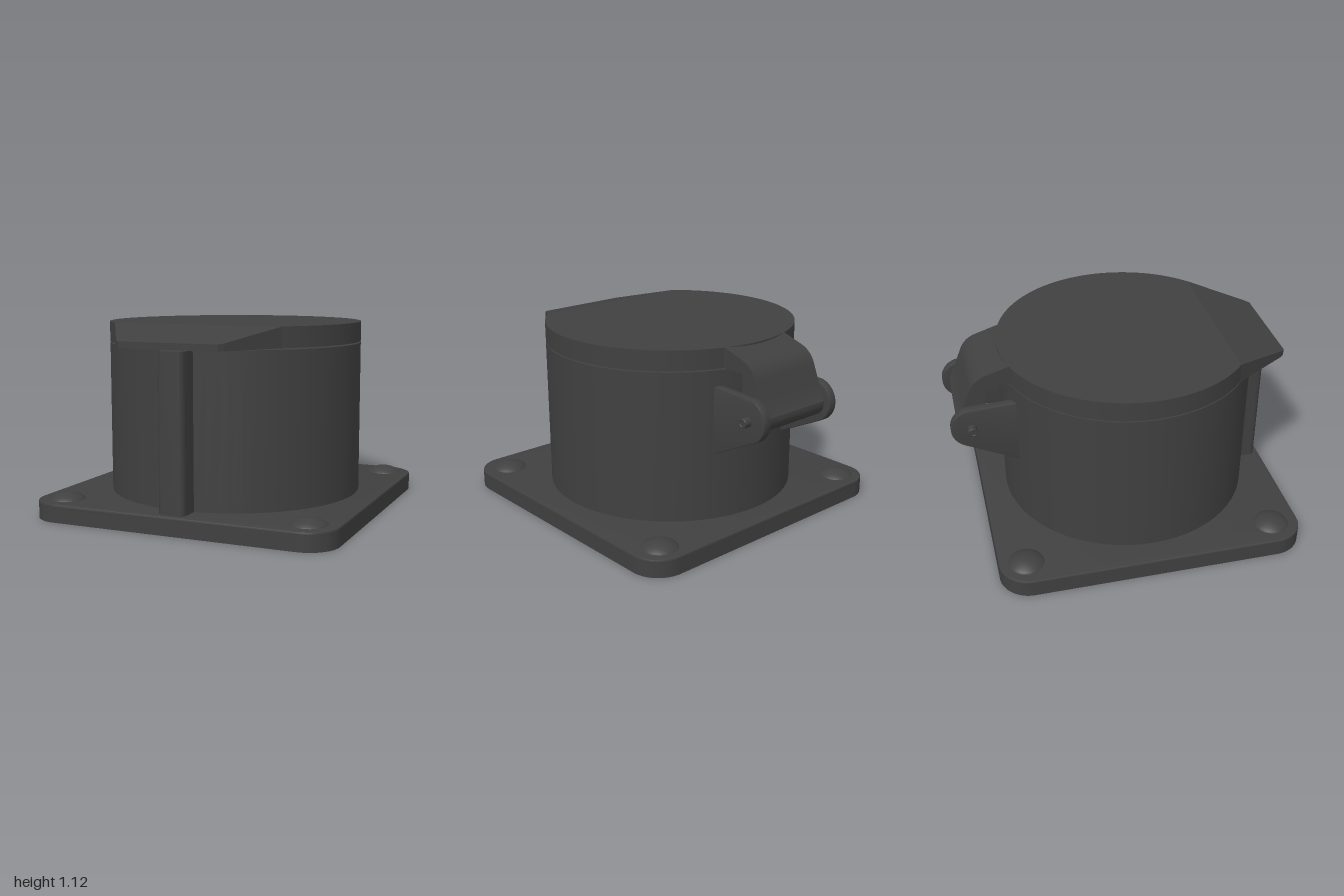
import * as THREE from 'three';
import { toCreasedNormals } from 'three/addons/utils/BufferGeometryUtils.js';
import { ConvexGeometry } from 'three/addons/geometries/ConvexGeometry.js';

const material = new THREE.MeshStandardMaterial({ color: 0x404040 });
const R = 0.76, CZ = 0.085; // body radius and centre
const CREASE = 0.6;

function extrude(shape, depth, bevel = 0) {
  return new THREE.ExtrudeGeometry(shape, {
    depth: depth - 2 * bevel, curveSegments: 16, bevelEnabled: bevel > 0,
    bevelThickness: bevel, bevelSize: bevel, bevelOffset: -bevel, bevelSegments: 2,
  }).translate(0, 0, bevel);
}

// Outline drawn in (x, z), raised from y0 to y1
const plan = (shape, y0, y1, bevel) =>
  toCreasedNormals(extrude(shape, y1 - y0, bevel).rotateX(Math.PI / 2).translate(0, y1, 0), CREASE);

// Profile drawn in (z, y), spread from x0 to x1
const profile = (shape, x0, x1, bevel) =>
  toCreasedNormals(extrude(shape, x1 - x0, bevel).rotateY(-Math.PI / 2).translate(x1, 0, 0), CREASE);

function roundedRect(x0, z0, x1, z1, r) {
  const s = new THREE.Shape();
  s.absarc(x1 - r, z1 - r, r, 0, Math.PI / 2);
  s.absarc(x0 + r, z1 - r, r, Math.PI / 2, Math.PI);
  s.absarc(x0 + r, z0 + r, r, Math.PI, Math.PI * 1.5);
  s.absarc(x1 - r, z0 + r, r, Math.PI * 1.5, Math.PI * 2);
  s.closePath();
  return s;
}

export function createModel() {
  const model = new THREE.Group();
  model.name = 'coveredSocket';
  const add = (name, geometry, x = 0, y = 0, z = 0) => {
    const mesh = new THREE.Mesh(geometry, material);
    mesh.name = name;
    mesh.position.set(x, y, z);
    model.add(mesh);
    return mesh;
  };

  // Base flange, hollow underneath
  const rim = roundedRect(-0.915, -0.83, 0.915, 1, 0.18);
  rim.holes.push(roundedRect(-0.9, -0.815, 0.9, 0.985, 0.165));
  add('baseRim', plan(rim, 0, 0.095));
  add('basePlate', plan(roundedRect(-0.915, -0.83, 0.915, 1, 0.18), 0.075, 0.107, 0.008));

  // Domed screw heads
  const dome = [[0.105, 0], [0.1, 0.008], [0.08, 0.02], [0.055, 0.031], [0.028, 0.038], [0, 0.04]]
    .map(([r, y]) => new THREE.Vector2(r, y));
  for (const x of [-0.745, 0.745])
    for (const z of [-0.67, 0.83])
      add('screwHead', new THREE.LatheGeometry(dome, 32), x, 0.106, z);

  // Round body and front rib
  add('body', new THREE.CylinderGeometry(R, R, 0.9, 64), 0, 0.55, CZ);
  add('frontRib', plan(roundedRect(-0.08, 0.7, 0.08, 0.97, 0.035), 0.1, 0.998));

  // Lid: disc cut by a chord, with a sloping front lip
  const lidY0 = 1.008, lidY1 = 1.125, a = 0.819;
  const disc = new THREE.Shape();
  disc.absarc(0, CZ, R, Math.PI - a, Math.PI * 2 + a);
  disc.closePath();
  const lidGeometry = new THREE.ExtrudeGeometry(disc, { depth: lidY1 - lidY0, curveSegments: 56, bevelEnabled: false });
  add('lid', toCreasedNormals(lidGeometry.rotateX(Math.PI / 2).translate(0, lidY1, 0), CREASE));

  const cx = R * Math.cos(a), cz = CZ + R * Math.sin(a);
  const lip = [];
  for (const s of [-1, 1]) {
    for (const [x, z, top] of [[cx, cz, lidY1], [0.32, 0.965, 1.049], [0.295, 0.99, 1.045]])
      lip.push(new THREE.Vector3(s * x, lidY0, z), new THREE.Vector3(s * x, top, z));
  }
  add('lidLip', new ConvexGeometry(lip));

  // Hinge arm curving down from the lid to the pivot
  const pz = -0.872, py = 0.773;
  const arm = new THREE.Shape();
  arm.moveTo(-0.55, lidY1);
  arm.lineTo(-0.64, lidY1);
  arm.lineTo(-0.78, 1.08);
  arm.quadraticCurveTo(-0.845, 1.055, -0.87, 0.99);
  arm.lineTo(-0.915, 0.88);
  arm.lineTo(-0.952, 0.79);
  arm.absarc(pz, py, 0.083, Math.PI * 0.94, Math.PI * 2, false);
  arm.lineTo(-0.775, lidY0);
  arm.lineTo(-0.55, lidY0);
  arm.closePath();
  add('hingeArm', profile(arm, -0.24, 0.24));

  // Hinge brackets on the body
  const bracket = new THREE.Shape();
  bracket.moveTo(-0.56, 0.912);
  bracket.lineTo(-0.61, 0.907);
  bracket.absarc(pz, py, 0.125, Math.PI * 0.53, Math.PI * 1.35, false);
  bracket.lineTo(-0.61, 0.505);
  bracket.lineTo(-0.56, 0.48);
  bracket.closePath();
  for (const s of [-1, 1])
    add('hingeBracket', profile(bracket, s * 0.267 - 0.027, s * 0.267 + 0.027, 0.006));

  // Hinge pin with a small raised ring at each end
  add('hingePin', new THREE.CylinderGeometry(0.028, 0.028, 0.67, 24).rotateZ(Math.PI / 2), 0, py, pz - 0.005);
  for (const s of [-1, 1])
    add('pinRing', new THREE.TorusGeometry(0.022, 0.006, 8, 24).rotateY(Math.PI / 2), s * 0.333, py, pz - 0.005);

  return model;
}
